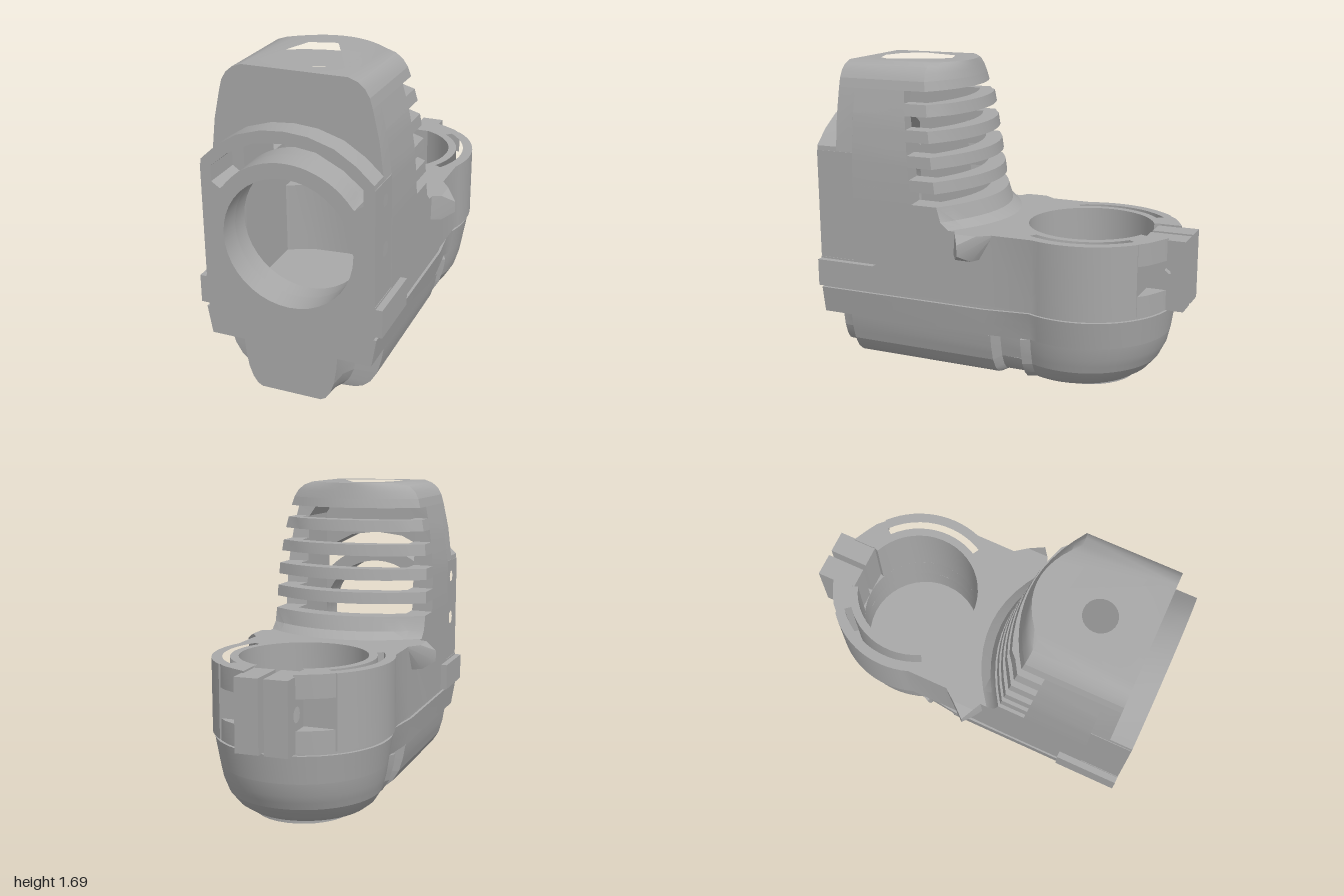
import * as THREE from 'three';
import { toCreasedNormals } from 'three/addons/utils/BufferGeometryUtils.js';
import { ConvexGeometry } from 'three/addons/geometries/ConvexGeometry.js';

const gray = new THREE.MeshStandardMaterial({ color: 0xa8a8a8 });
gray.name = 'castGray';

// linear lookup in a small [key, value] table
function lookup(table, k) {
  if (k <= table[0][0]) return table[0][1];
  for (let i = 1; i < table.length; i++) {
    const [a, va] = table[i - 1], [b, vb] = table[i];
    if (k <= b) return va + (vb - va) * (k - a) / (b - a);
  }
  return table[table.length - 1][1];
}
const range = (n, f) => Array.from({ length: n + 1 }, (_, i) => f(i / n));
// arc in plan around the bore axis, angles in degrees from +x towards +z
const BORE_Z = -0.44;
const arc = (r, a0, a1, n) => range(n, t => {
  const a = (a0 + (a1 - a0) * t) * Math.PI / 180;
  return [r * Math.cos(a), BORE_Z + r * Math.sin(a)];
});
const mirror = half => half.concat(half.filter(p => Math.abs(p[0]) > 1e-6).reverse().map(p => [-p[0], p[1]]));
const flip = pts => pts.map(p => [-p[0], p[1]]);
const circle = (x, y, r, n, a0 = 0) => range(n, t => [x + r * Math.cos(a0 + t * 2 * Math.PI), y + r * Math.sin(a0 + t * 2 * Math.PI)]).slice(0, n);

function extrude(pts, depth, steps, holes) {
  const v = list => list.map(p => new THREE.Vector2(p[0], p[1]));
  const shape = new THREE.Shape(v(pts));
  holes.forEach(h => shape.holes.push(new THREE.Path(v(h))));
  return new THREE.ExtrudeGeometry(shape, { depth, steps, bevelEnabled: false });
}

export function createModel() {
  const group = new THREE.Group();
  const add = (name, geo) => {
    const mesh = new THREE.Mesh(toCreasedNormals(geo, 0.55), gray);
    mesh.name = name;
    group.add(mesh);
    return mesh;
  };
  // plan outline [x, z] raised through several heights, each ring moved by a rule
  const layer = (name, pts, levels, holes = [], rule = null) => {
    const neg = l => l.map(p => [p[0], -p[1]]);
    const n = levels.length - 1;
    const geo = extrude(neg(pts), 1, n, holes.map(neg)).rotateX(-Math.PI / 2);
    const p = geo.attributes.position;
    for (let i = 0; i < p.count; i++) {
      const y = levels[Math.round(p.getY(i) * n)];
      const [x, z] = rule ? rule(p.getX(i), p.getZ(i), y) : [p.getX(i), p.getZ(i)];
      p.setXYZ(i, x, y, z);
    }
    geo.computeVertexNormals();
    add(name, geo);
  };
  // front outline [x, y] between two z values
  const slabZ = (name, pts, z0, z1, holes = []) => add(name, extrude(pts, z1 - z0, 1, holes).translate(0, 0, z0));
  // side outline [z, y] between two x values, made on both sides
  const slabX = (name, pts, x0, x1, holes = []) => [x0, -x1].forEach(x =>
    add(name, extrude(flip(pts), x1 - x0, 1, holes.map(flip)).rotateY(Math.PI / 2).translate(x, 0, 0)));
  const rect = (a0, b0, a1, b1) => [[a0, b0], [a1, b0], [a1, b1], [a0, b1]];

  // ---- base tub: narrows and rounds under towards the floor
  const sx = [[0.01, 0.6], [0.025, 0.7], [0.06, 0.79], [0.12, 0.87], [0.2, 0.92], [0.27, 0.945], [0.42, 1], [0.421, 0.97], [0.44, 0.97]];
  const sz = [[0.01, 0.64], [0.025, 0.72], [0.06, 0.8], [0.12, 0.88], [0.2, 0.94], [0.27, 0.965], [0.42, 1], [0.421, 0.98], [0.44, 0.98]];
  const tubRule = (x, z, y) => {
    if (Math.hypot(x, z - BORE_Z) < 0.345) return [x, z];
    return [x * lookup(sx, y), z < -0.25 ? -0.25 + (z + 0.25) * lookup(sz, y) : z];
  };
  const bore = circle(0, BORE_Z, 0.34, 40);
  const tail = arc(0.47, 24, -90, 18).map((p, i, l) => i === l.length - 1 ? [0, p[1]] : p);
  const plain = mirror([[0, 1], [0.46, 1], [0.46, 0], ...tail]);
  const notched = mirror([[0, 1], [0.27, 1], [0.28, 0.9], [0.32, 0.84], [0.46, 0.83], [0.46, -0.03],
    [0.37, -0.05], [0.37, -0.18], [0.455, -0.2], ...tail]);
  layer('baseUpper', plain, [0.27, 0.34, 0.42, 0.421, 0.44], [bore], tubRule);
  layer('baseMiddle', notched, [0.12, 0.16, 0.2, 0.27], [bore], tubRule);
  layer('baseBottom', notched, [0.01, 0.025, 0.06, 0.12], [], tubRule);
  add('bottomDisc', new THREE.CylinderGeometry(0.26, 0.26, 0.02, 32).translate(0, 0.01, BORE_Z));

  // ---- collar and lower housing: open bore at the back, open chamber at the front
  const curvedSlot = [...arc(0.385, 29, -50, 12), ...arc(0.425, -50, 29, 12)];
  const housing = mirror([[0, BORE_Z + 0.34], ...arc(0.34, 82, -69, 20), [0.14, -0.8], ...arc(0.48, -48.6, 20, 14),
    [0.45, 0], [0.455, 0.3], [0.455, 0.78], [0.33, 0.78], [0.33, 0.32], [0.2, 0.26], [0, 0.24]]);
  layer('collarHousing', housing, [0.44, 0.83], [curvedSlot, flip(curvedSlot)]);

  // split clamp with its cross screw hole
  slabX('clampEar', rect(-1, 0.44, -0.78, 0.82), 0.015, 0.14, [circle(-0.89, 0.63, 0.042, 10)]);
  const filler = [[0.13, -0.79], [0.13, -0.91], [0.2, -0.876], [0.27, -0.837], [0.318, -0.79]];
  for (const [a, b] of [[0.44, 0.55], [0.71, 0.83]])
    for (const side of [filler, flip(filler)]) layer('clampShoulder', side, [a, b]);

  // side lugs and front rails
  for (const s of [1, -1]) {
    const lug = [[0.44, 0.69, 0.02], [0.44, 0.83, -0.06], [0.44, 0.83, 0.17], [0.44, 0.7, 0.18],
      [0.565, 0.73, 0.1], [0.565, 0.79, 0.1], [0.5, 0.69, 0.05], [0.5, 0.69, 0.14], [0.5, 0.83, 0.02], [0.5, 0.83, 0.14]];
    add('sideLug', new ConvexGeometry(lug.map(p => new THREE.Vector3(s * p[0], p[1], p[2]))));
  }
  slabX('frontRail', rect(0.65, 0.44, 1, 0.59), 0.44, 0.49);

  // ---- finned head: stacked layers with a hollow chamber
  const width = [[0.83, 0.455], [1.0, 0.455], [1.2, 0.449], [1.4, 0.425], [1.55, 0.392], [1.6, 0.378], [1.64, 0.355], [1.67, 0.32], [1.688, 0.27]];
  const back = [[0.83, 0.02], [0.87, 0.08], [0.95, 0.11], [1.45, 0.2], [1.69, 0.26]];
  const headRule = (x, z, y) => {
    if (Math.hypot(x, z - 0.6) < 0.215) return [x, z];
    const nx = Math.abs(x) > 0.34 || y > 1.54 ? x * lookup(width, y) / 0.455 : x;
    return [nx, z + lookup(back, y) * Math.max(0, 0.78 - z) / 0.78];
  };
  const bow = (xMax, z0, k) => range(6, t => [xMax * t, z0 + k * (xMax * t) ** 2]);
  const fin = mirror([...bow(0.455, 0, 0.9), [0.455, 0.78], [0.33, 0.78], ...bow(0.33, 0.13, 0.9).reverse()]);
  layer('headFoot', fin, [0.83, 0.87, 0.95], [], headRule);
  for (const y of [1.02, 1.15, 1.285, 1.42]) layer('coolingFin', fin, [y, y + 0.063], [], headRule);
  const wall = [[0.33, 0.38], [0.455, 0.36], [0.455, 0.78], [0.33, 0.78]];
  for (const side of [wall, flip(wall)])
    layer('headWall', side, [0.95, 1.02, 1.085, 1.15, 1.21, 1.285, 1.35, 1.42, 1.48, 1.55], [], headRule);

  // roof with a counterbored screw seat
  const roof = mirror([...bow(0.455, 0, 0.9), [0.455, 0.88], [0, 0.88]]);
  layer('roofLower', roof, [1.55, 1.6], [circle(0, 0.6, 0.09, 24)], headRule);
  layer('roofUpper', roof, [1.6, 1.64, 1.67, 1.688], [circle(0, 0.6, 0.21, 10, 0.3)], headRule);

  // ---- front face with the round port and the arched slot
  const port = circle(0, 0.848, 0.343, 40);
  const archSlot = [[0.35, 1.09], [0.395, 1.12], [0.395, 1.2], [0.3, 1.28], [0.16, 1.35], [0, 1.37]];
  const ring = range(10, t => {
    const a = Math.PI * (0.5 - 0.3 * t);
    return [0.42 * Math.cos(a), 0.85 + 0.42 * Math.sin(a)];
  });
  const slot = mirror([[0, 1.27], ...ring.slice(1), ...archSlot]);
  const sides = [[0, 0.44], [0.455, 0.44], [0.455, 0.6], [0.41, 0.6], [0.41, 1.205]];
  slabZ('frontPanel', mirror([...sides, [0.449, 1.205], [0.425, 1.4], [0.392, 1.55], [0, 1.55]]), 0.78, 0.88, [port, slot]);
  slabZ('frontPlate', mirror([...sides, [0.449, 1.205], [0.447, 1.23], [0.36, 1.31], [0.25, 1.38], [0.12, 1.42], [0, 1.43]]),
    0.88, 1, [port, slot]);
  slabX('sideSkin', rect(0.78, 0.6, 1, 1.205), 0.41, 0.452,
    [circle(0.865, 0.85, 0.04, 8), circle(0.865, 1.105, 0.035, 6)]);

  return group;
}
